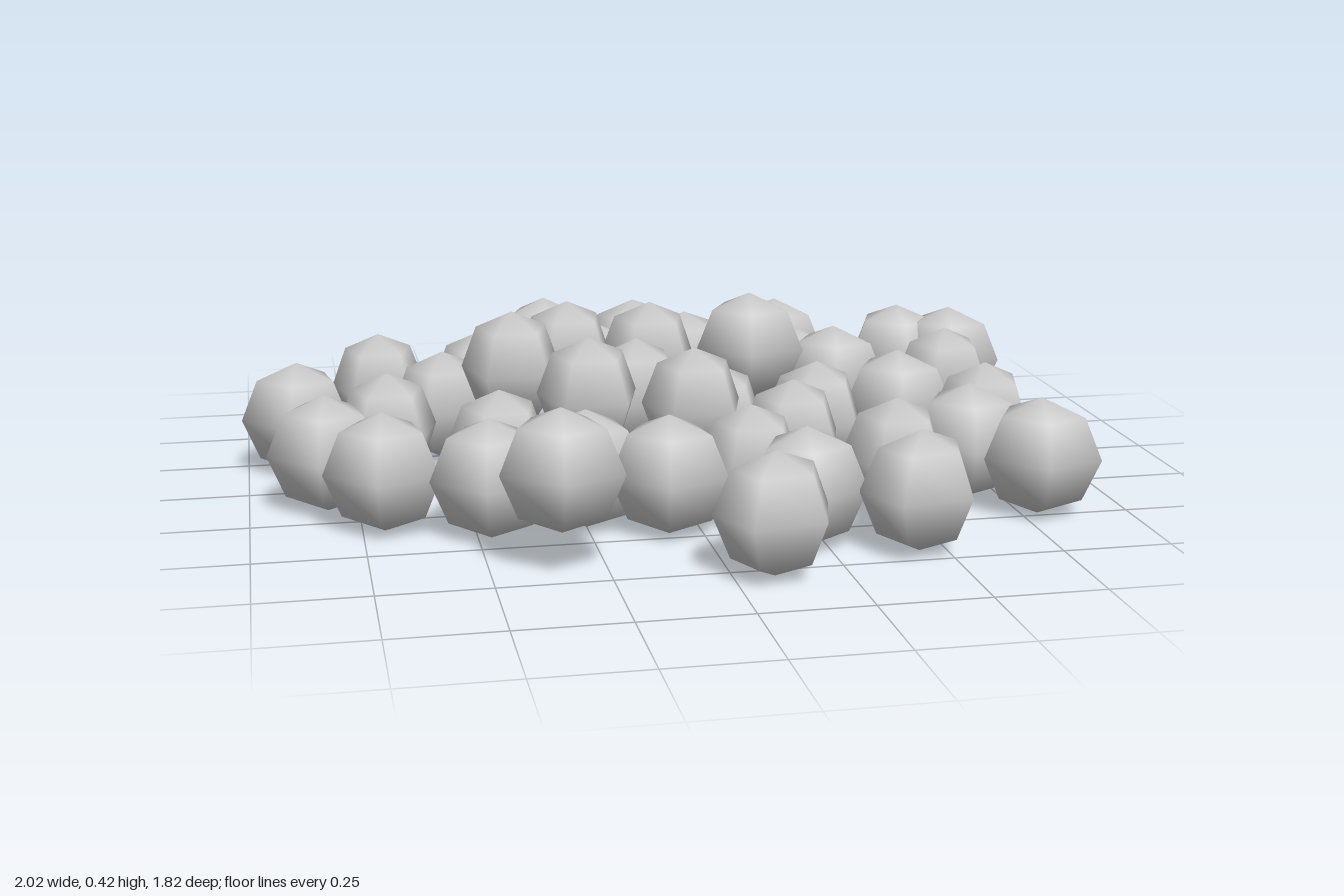
import * as THREE from 'three';

// Each stone: x, z, heading of its longer end in degrees (0 = +x, 90 = +z)
const edgeStones = [
  [-0.18, -0.82, 162], [0.06, -0.75, -25], [-0.29, -0.64, -30], [0.45, -0.69, 30],
  [0.17, -0.57, -25], [0.76, -0.545, 20], [0.89, -0.49, 30], [-0.66, -0.455, -90],
  [0.8, -0.25, -95], [-0.875, -0.18, 30], [0.605, -0.03, 30], [0.775, 0.135, -90],
  [-0.82, 0.15, 30], [-0.7, 0.325, 30],
];
const innerStones = [
  [-0.4, -0.435, -90], [-0.08, -0.45, 25], [0.39, -0.44, 25], [0.52, -0.325, 30],
  [-0.515, -0.23, -100], [-0.665, -0.03, -90], [0.13, 0.03, -90], [0.375, 0.045, -90],
  [-0.42, 0.175, -95], [0.275, 0.21, -90],
];
const frontStones = [
  [0.67, 0.325, 30], [0.79, 0.48, 30], [-0.47, 0.42, 30], [-0.25, 0.385, 30],
  [-0.075, 0.465, 30], [0.125, 0.415, -90], [0.465, 0.42, -90], [0.2, 0.615, 165],
  [0.09, 0.785, -25], [0.44, 0.685, -25],
];
// Raised stones carry a fourth value: the height of their centre
const raisedStones = [
  [-0.365, -0.015, -90, 0.28], [-0.205, -0.2, -95, 0.26], [0, -0.175, -90, 0.255],
  [0.26, -0.19, 30, 0.265], [-0.21, 0.185, -90, 0.255], [-0.07, 0.025, -100, 0.21],
  [0.04, 0.185, -90, 0.22], [-0.345, 0.66, 25, 0.22],
];

export function createModel() {
  const model = new THREE.Group();
  model.name = 'stonePile';
  const material = new THREE.MeshStandardMaterial({ color: 0xcccccc });

  // Five-sided smooth pebble, slightly longer along one axis
  const pebble = new THREE.SphereGeometry(1, 5, 4);
  pebble.scale(0.142, 0.138, 0.124);

  const layers = { edgeStones, innerStones, frontStones, raisedStones };
  for (const [name, stones] of Object.entries(layers)) {
    const layer = new THREE.Group();
    layer.name = name;
    for (const [x, z, heading, y = 0.138] of stones) {
      const stone = new THREE.Mesh(pebble, material);
      stone.name = 'stone';
      stone.position.set(x, y, z);
      stone.rotation.y = Math.PI - THREE.MathUtils.degToRad(heading);
      layer.add(stone);
    }
    model.add(layer);
  }
  return model;
}
